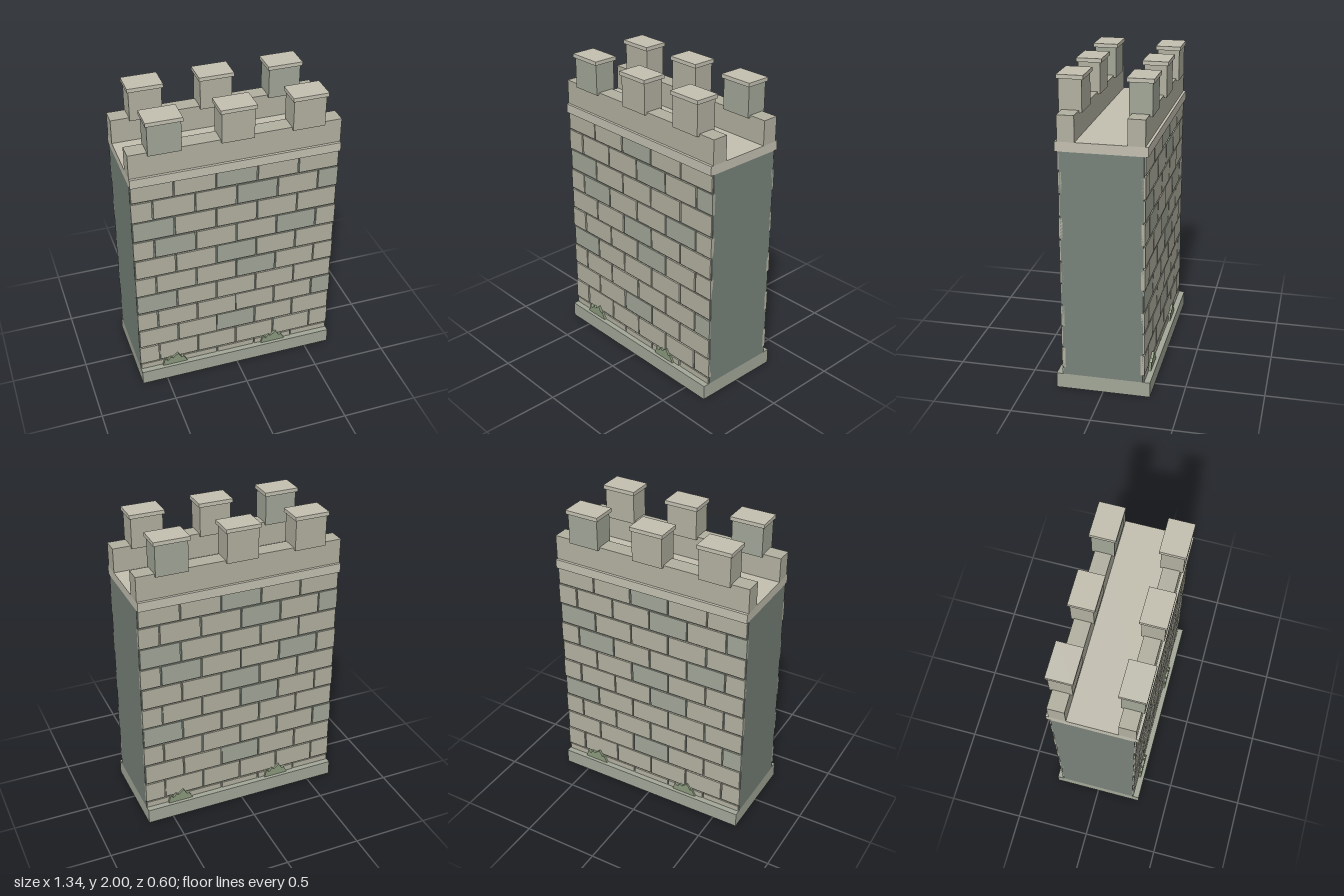
import * as THREE from 'three';

const mat = (color) => new THREE.MeshStandardMaterial({ color });
const stone = mat(0xb2b0a0), mossStone = mat(0xa2a798), mortar = mat(0x78827a);
const trim = mat(0xc3c0b1), grass = mat(0x8b987d);

const HALF = 0.67; // half length of the wall
const COURSE = 0.145, BLOCK = 0.268, GAP = 0.01;

// box given by its limits on each axis
function box(parent, name, material, [x0, x1], [y0, y1], [z0, z1]) {
  const mesh = new THREE.Mesh(new THREE.BoxGeometry(x1 - x0, y1 - y0, z1 - z0), material);
  mesh.position.set((x0 + x1) / 2, (y0 + y1) / 2, (z0 + z1) / 2);
  mesh.name = name;
  parent.add(mesh);
  return mesh;
}

// columns of the darker blocks, course by course from the bottom
const darkBlocks = [[], [], [2], [5], [0], [3], [2], [1, 4], [0], [3, 5], [2]];

// running-bond stone courses on one face
function addBlocks(side) {
  const blocks = new THREE.Group();
  blocks.name = 'stoneBlocks';
  darkBlocks.forEach((dark, row) => {
    const y0 = Math.max(0.1, 0.005 + row * COURSE);
    const y1 = Math.min(1.57, 0.005 + (row + 1) * COURSE - GAP);
    const start = -HALF - (row % 2 ? BLOCK / 2 : 0);
    for (let col = 0; col < 5 + (row % 2); col++) {
      const x0 = Math.max(-HALF, start + col * BLOCK + GAP / 2);
      const x1 = Math.min(HALF, start + (col + 1) * BLOCK - GAP / 2);
      const front = 0.262 + ((row * 3 + col * 5) % 4) * 0.001;
      box(blocks, 'stoneBlock', dark.includes(col) ? mossStone : stone, [x0, x1], [y0, y1], [0.24, front]);
    }
  });
  side.add(blocks);
}

// jagged tuft growing at the foot of the wall
function addTuft(side, x) {
  const outline = [[-0.085, 0], [-0.07, 0.055], [-0.05, 0.035], [-0.03, 0.06], [-0.015, 0.05],
    [0.022, 0.08], [0.045, 0.04], [0.06, 0.045], [0.085, 0]];
  const shape = new THREE.Shape(outline.map(([a, b]) => new THREE.Vector2(a, b)));
  const tuft = new THREE.Mesh(
    new THREE.ExtrudeGeometry(shape, { depth: 0.02, bevelEnabled: false }), grass);
  tuft.position.set(x, 0.1, 0.258);
  tuft.name = 'grassTuft';
  side.add(tuft);
}

// everything belonging to one long face
function makeSide(name) {
  const side = new THREE.Group();
  side.name = name;
  addBlocks(side);
  box(side, 'parapet', stone, [-HALF, HALF], [1.63, 1.79], [0.157, 0.262]);
  [-0.45, 0, 0.45].forEach((x, i) => {
    box(side, 'merlon', i ? stone : mossStone, [x - 0.103, x + 0.103], [1.775, 1.976], [0.14, 0.28]);
    box(side, 'merlonCap', trim, [x - 0.113, x + 0.113], [1.975, 2], [0.128, 0.29]);
  });
  addTuft(side, -0.435);
  addTuft(side, 0.265);
  return side;
}

export function createModel() {
  const model = new THREE.Group();
  model.name = 'castleWall';
  box(model, 'plinth', mossStone, [-HALF, HALF], [0, 0.1], [-0.3, 0.3]);
  box(model, 'wallCore', mortar, [-HALF, HALF], [0.1, 1.57], [-0.254, 0.254]);
  box(model, 'walkway', trim, [-HALF, HALF], [1.57, 1.63], [-0.279, 0.279]);
  const back = makeSide('backSide');
  back.rotation.y = Math.PI;
  model.add(makeSide('frontSide'), back);
  return model;
}
